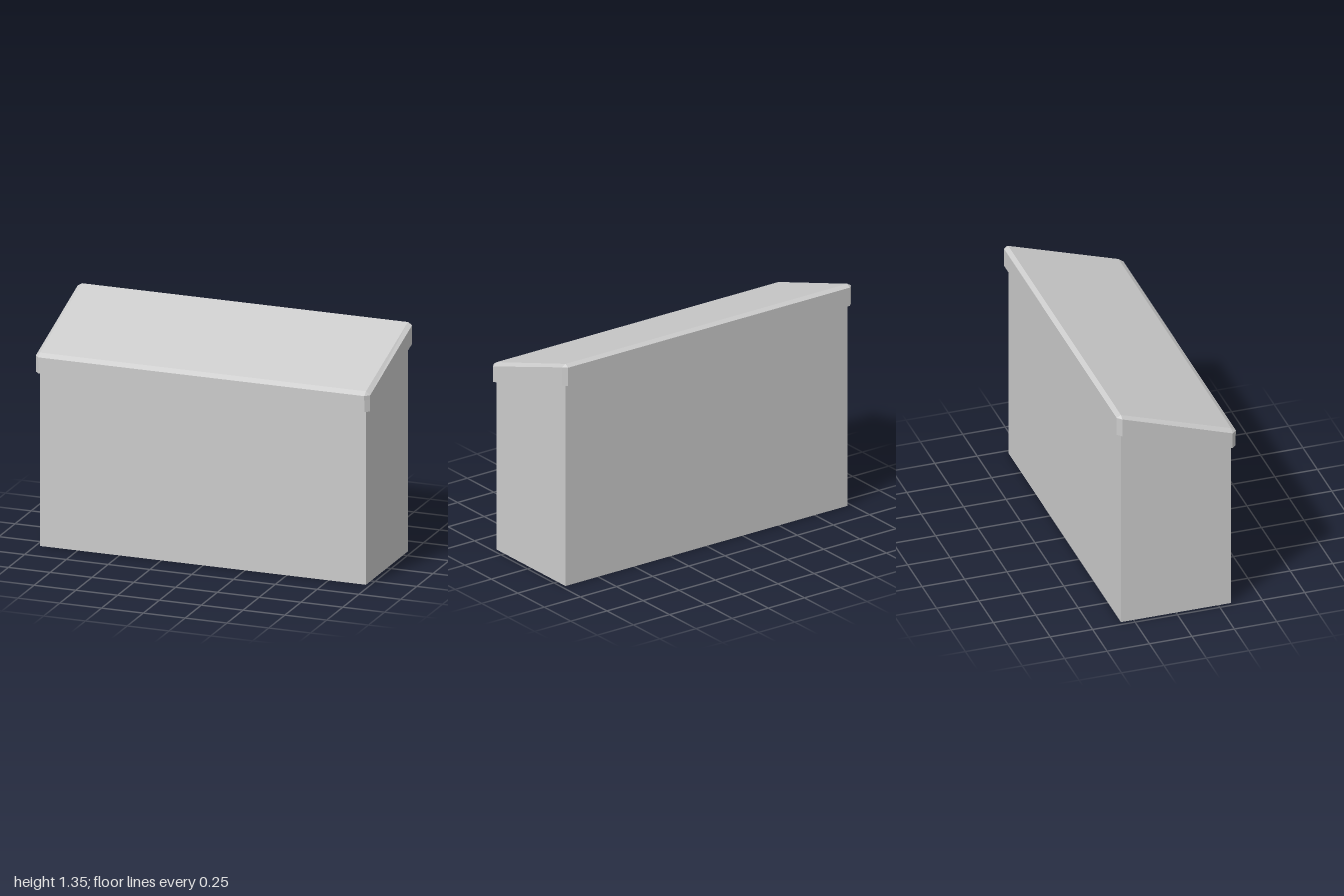
import * as THREE from 'three';

const material = new THREE.MeshStandardMaterial({ color: 0xcccccc, flatShading: true });
const HX = 0.975, HZ = 0.325; // half width and depth of the body

// Horizontal outline with clipped corners; its height slopes from front to back.
// With grow = 0 it becomes a plain rectangle.
function ring(yFront, yBack, grow = 0, lip = 0) {
  const x = HX + grow, z = HZ + grow;
  const outline = [
    [x, HZ], [x, -HZ], [HX, -z], [-HX, -z],
    [-x, -HZ], [-x, HZ], [-HX, z + lip], [HX, z + lip],
  ];
  return outline.map(([px, pz]) => new THREE.Vector3(px, pz > 0 ? yFront : yBack, pz));
}

// Skin a stack of rings, listed from bottom to top, and close the ends.
function loft(name, rings) {
  const points = [];
  const tri = (a, b, c) => {
    const area = b.clone().sub(a).cross(c.clone().sub(a)).length();
    if (area > 1e-9) points.push(a, b, c);
  };
  for (let r = 0; r < rings.length - 1; r++) {
    const low = rings[r], high = rings[r + 1];
    low.forEach((p, i) => {
      const j = (i + 1) % low.length;
      tri(p, low[j], high[j]);
      tri(p, high[j], high[i]);
    });
  }
  const first = rings[0], last = rings[rings.length - 1];
  for (let i = 1; i < first.length - 1; i++) {
    tri(first[0], first[i + 1], first[i]);
    tri(last[0], last[i], last[i + 1]);
  }
  const geometry = new THREE.BufferGeometry().setFromPoints(points);
  geometry.computeVertexNormals();
  const mesh = new THREE.Mesh(geometry, material);
  mesh.name = name;
  return mesh;
}

export function createModel() {
  const model = new THREE.Group();
  model.name = 'slopedBin';

  // Tall box with a sloping upper edge
  model.add(loft('body', [ring(0, 0), ring(1.02, 1.22)]));

  // Overhanging lid: underside, rim, slim front lip and bevelled top
  model.add(loft('lid', [
    ring(1.02, 1.22),
    ring(1.02, 1.22, 0.025),
    ring(1.09, 1.3, 0.025),
    ring(1.09, 1.3, 0.025, 0.003),
    ring(1.115, 1.33, 0.025, 0.003),
    ring(1.135, 1.345),
  ]));

  return model;
}
